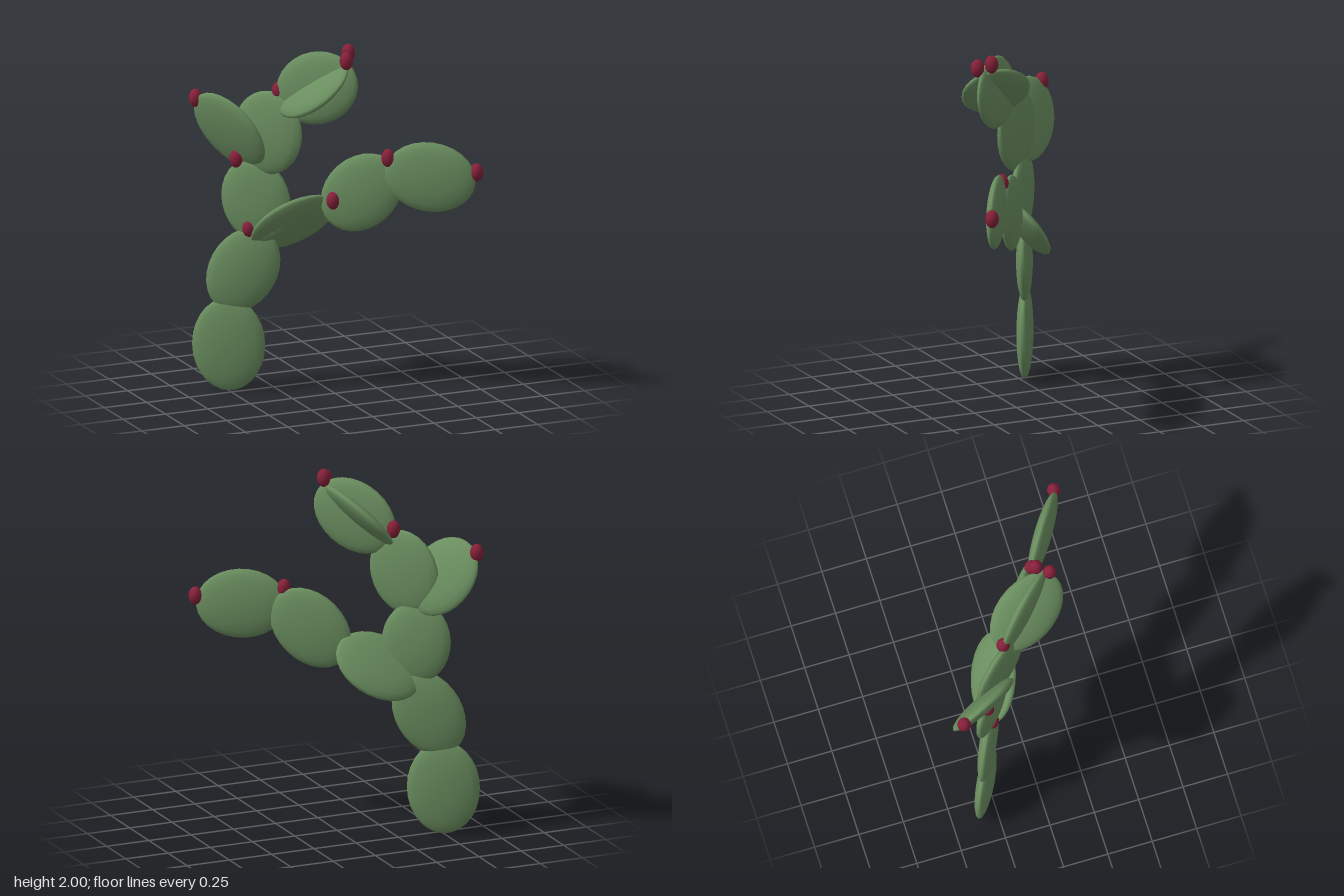
import * as THREE from 'three';

const padGreen = new THREE.MeshStandardMaterial({ color: 0x6b8f60 });
padGreen.name = 'padGreen';
const fruitRed = new THREE.MeshStandardMaterial({ color: 0x86203a });
fruitRed.name = 'fruitRed';

const padShape = new THREE.SphereGeometry(1, 18, 14);
const fruitShape = new THREE.SphereGeometry(1, 12, 10);
const THICKNESS = 0.045;

// A flattened ellipsoid: long axis along `axis`, thin along `normal`
function makePad(name, centre, axis, normal, halfLength, halfWidth) {
  const n = new THREE.Vector3(...normal).normalize();
  const v = new THREE.Vector3(...axis);
  v.addScaledVector(n, -v.dot(n)).normalize();
  const s = new THREE.Vector3().crossVectors(v, n);
  const mesh = new THREE.Mesh(padShape, padGreen);
  mesh.name = name;
  mesh.quaternion.setFromRotationMatrix(new THREE.Matrix4().makeBasis(s, v, n));
  mesh.position.set(...centre);
  mesh.scale.set(halfWidth, halfLength, THICKNESS);
  return mesh;
}

// An upright pad: turned by `yaw` about the vertical, leaning by `lean` in its own plane (degrees)
function makeUprightPad(name, centre, yaw, lean, halfLength, halfWidth) {
  const a = THREE.MathUtils.degToRad(yaw);
  const t = THREE.MathUtils.degToRad(lean);
  const axis = [Math.sin(t) * Math.cos(a), Math.cos(t), Math.sin(t) * Math.sin(a)];
  return makePad(name, centre, axis, [-Math.sin(a), 0, Math.cos(a)], halfLength, halfWidth);
}

export function createModel() {
  const cactus = new THREE.Group();
  cactus.name = 'cactus';

  // Trunk
  cactus.add(
    makeUprightPad('trunkLowerPad', [-0.5, 0.262, -0.286], 29, 0, 0.26, 0.198),
    makeUprightPad('trunkUpperPad', [-0.43, 0.68, -0.25], 28, 28, 0.25, 0.185),
  );

  // Tall branch
  cactus.add(
    makeUprightPad('tallBranchLowerPad', [-0.373, 1.075, -0.21], 40, -10, 0.235, 0.193),
    makeUprightPad('tallBranchMiddlePad', [-0.328, 1.462, -0.153], 52, 13, 0.236, 0.208),
    makeUprightPad('tallBranchTopPad', [-0.132, 1.745, 0.06], 48, 64, 0.25, 0.198),
    makePad('tallBranchCrossPad', [-0.15, 1.745, 0.052], [0.45, 0.52, 0.72], [0.75, -0.66, -0.05], 0.25, 0.18),
    makePad('tallBranchSidePad', [-0.49, 1.457, -0.297], [-0.52, 0.65, -0.55], [0.842, 0.33, -0.406], 0.25, 0.198),
  );

  // Long branch
  cactus.add(
    makePad('longBranchInnerPad', [-0.18, 0.947, -0.145], [0.82, 0.46, 0.33], [0, -0.58, 0.81], 0.25, 0.185),
    makeUprightPad('longBranchMiddlePad', [0.118, 1.137, 0.085], 36, 46, 0.25, 0.193),
    makeUprightPad('longBranchOuterPad', [0.42, 1.248, 0.317], 33, 95, 0.25, 0.195),
  );

  // Fruits on the rims of the pads
  const fruits = [
    [0.637, 1.283, 0.445], [0.227, 1.345, 0.193], [-0.02, 1.09, 0.02],
    [-0.41, 0.92, -0.22], [-0.466, 1.303, -0.265], [-0.625, 1.615, -0.445],
    [-0.28, 1.7, -0.12], [0.01, 1.95, 0.153], [-0.03, 1.925, 0.218],
  ];
  fruits.forEach((p, i) => {
    const fruit = new THREE.Mesh(fruitShape, fruitRed);
    fruit.name = `fruit${i + 1}`;
    fruit.position.set(...p);
    fruit.scale.set(0.037, 0.05, 0.037);
    cactus.add(fruit);
  });

  return cactus;
}
